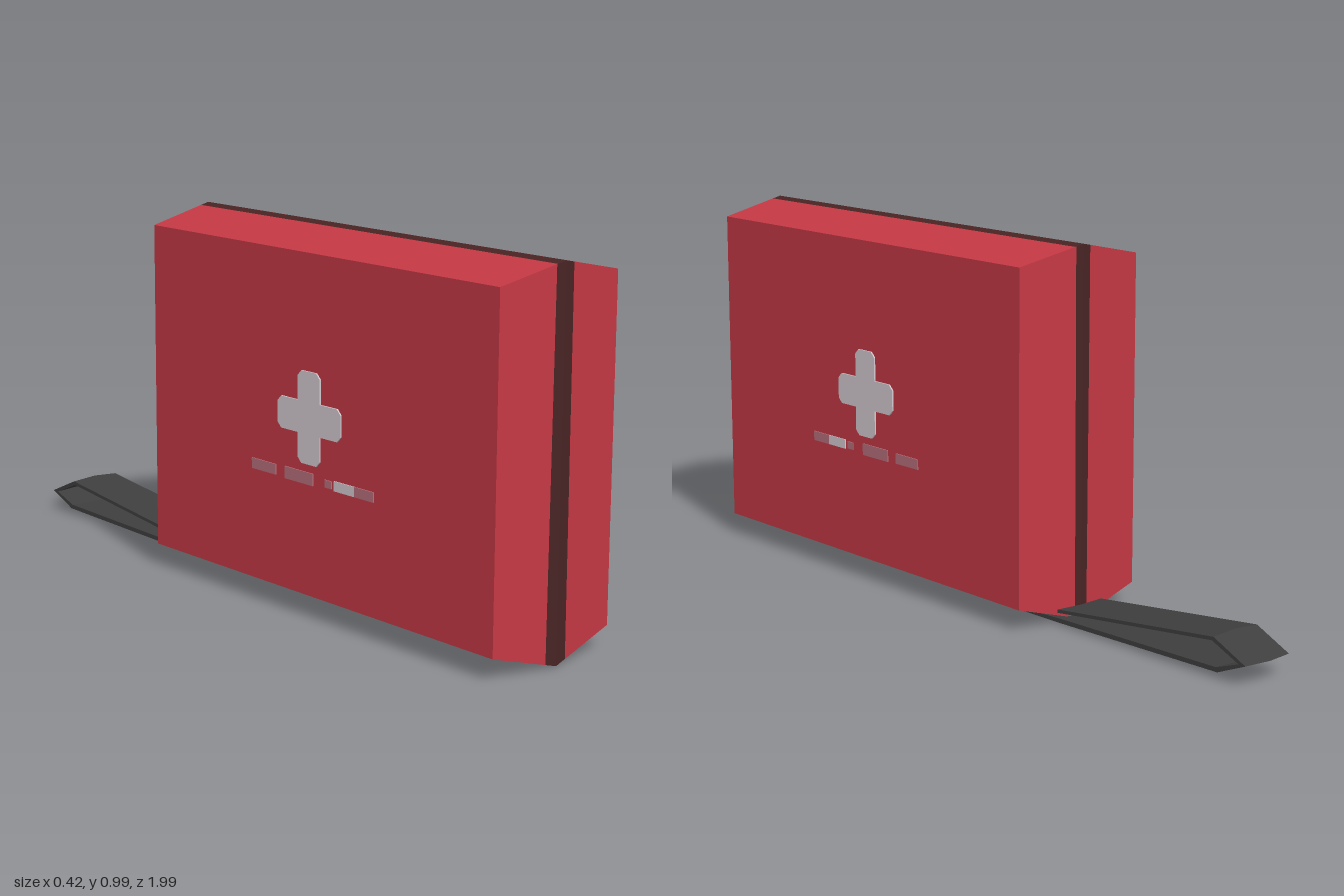
import * as THREE from 'three';

const red = new THREE.MeshStandardMaterial({ color: 0xc43844 });
red.name = 'red fabric';
const brown = new THREE.MeshStandardMaterial({ color: 0x482424 });
brown.name = 'dark zip';
const white = new THREE.MeshStandardMaterial({ color: 0xd4cad1 });
white.name = 'off white print';
const pink = new THREE.MeshStandardMaterial({ color: 0xb8707c });
pink.name = 'faded print';
const black = new THREE.MeshStandardMaterial({ color: 0x3e3e3e });
black.name = 'dark webbing';

const HALF = 0.2;

function mesh(name, geometry, material) {
  const m = new THREE.Mesh(geometry, material);
  m.name = name;
  return m;
}

// Corner of the bag's outline at a given x; it bulges towards the middle ridge
function corner(x, top, front) {
  const t = Math.abs(x) / HALF;
  const y = top > 0 ? 0.99 - 0.043 * t : 0.004 + 0.057 * t;
  return new THREE.Vector3(x, y, front * (0.662 - 0.018 * t));
}

// Flat quads facing away from the middle of the bag
function quadGeometry(quads) {
  const out = [];
  const middle = new THREE.Vector3(0, 0.5, 0);
  for (const [a, b, c, d] of quads) {
    const n = b.clone().sub(a).cross(c.clone().sub(a));
    const outward = a.clone().add(c).multiplyScalar(0.5).sub(middle);
    const order = n.dot(outward) > 0 ? [a, b, c, a, c, d] : [a, c, b, a, d, c];
    for (const p of order) out.push(p.x, p.y, p.z);
  }
  const g = new THREE.BufferGeometry();
  g.setAttribute('position', new THREE.Float32BufferAttribute(out, 3));
  g.computeVertexNormals();
  return g;
}

function addBag(group) {
  const redQuads = [];
  const zipQuads = [];
  // Each rim panel: its two end corners [top, front] and the zip half width at each
  const panels = [
    [[1, 1], [-1, 1], 0.029, 0.034],
    [[1, -1], [1, 1], 0.027, 0.027],
    [[1, -1], [-1, -1], 0.024, 0.02],
    [[-1, -1], [-1, 1], 0, 0],
  ];
  for (const [e0, e1, w0, w1] of panels) {
    for (const s of [-1, 1]) {
      const strip = (list, xa0, xb0, xa1, xb1) => list.push([
        corner(s * xa0, ...e0), corner(s * xb0, ...e0), corner(s * xb1, ...e1), corner(s * xa1, ...e1),
      ]);
      strip(redQuads, w0, HALF, w1, HALF);
      if (w0 > 0) strip(zipQuads, 0, w0, 0, w1);
    }
  }
  // Flat left and right faces
  for (const s of [-1, 1]) {
    const x = s * HALF;
    redQuads.push([corner(x, 1, 1), corner(x, -1, 1), corner(x, -1, -1), corner(x, 1, -1)]);
  }
  group.add(mesh('bagBody', quadGeometry(redQuads), red));
  group.add(mesh('zipBand', quadGeometry(zipQuads), brown));
}

// Plus sign with clipped arm ends
function crossGeometry() {
  const a = 0.042, r = 0.12, k = 0.014;
  const shape = new THREE.Shape();
  const arm = [[a, a], [r - k, a], [r, a - k], [r, k - a], [r - k, -a]];
  const points = [];
  for (let i = 0; i < 4; i++) {
    const angle = -i * Math.PI / 2;
    for (const [x, y] of arm) points.push(new THREE.Vector2(x, y).rotateAround(new THREE.Vector2(), angle));
  }
  shape.setFromPoints(points);
  return new THREE.ExtrudeGeometry(shape, { depth: 0.004, bevelEnabled: false });
}

function addPrint(group, side) {
  const cross = mesh('cross', crossGeometry(), white);
  cross.rotation.y = side * Math.PI / 2;
  cross.position.set(side * HALF, 0.527, -0.01);
  group.add(cross);
  // Row of dashes below the cross: front z, back z, height, material
  const dashes = [
    [0.23, 0.16, 0.026, pink], [0.16, 0.085, 0.026, white], [0.075, 0.05, 0.02, pink],
    [0.005, -0.105, 0.032, pink], [-0.14, -0.235, 0.028, pink],
  ];
  for (const [z0, z1, h, material] of dashes) {
    const dash = mesh('printDash', new THREE.BoxGeometry(0.004, h, z0 - z1), material);
    dash.position.set(side * (HALF + 0.001), 0.37, (z0 + z1) / 2);
    group.add(dash);
  }
}

// Loop of webbing that runs out from under the back of the bag
function strapGeometry() {
  const outer = [[0.525, 0.006], [0.67, 0.007], [1.23, 0.018], [1.322, 0.056], [1.215, 0.104], [0.66, 0.042], [0.56, 0.03]];
  const inner = [[0.56, 0.023], [0.66, 0.033], [1.21, 0.094], [1.3, 0.056], [1.225, 0.03], [0.67, 0.019], [0.525, 0.013]];
  const shape = new THREE.Shape([...outer, ...inner].map(([x, y]) => new THREE.Vector2(x, y)));
  const width = 0.152;
  const g = new THREE.ExtrudeGeometry(shape, { depth: width, steps: 2, bevelEnabled: false });
  g.translate(0, 0, -width / 2);
  g.rotateY(Math.PI / 2);
  // Bow the middle of the webbing outwards
  const p = g.attributes.position;
  for (let i = 0; i < p.count; i++) {
    if (Math.abs(p.getX(i)) > 0.01) continue;
    p.setY(i, 0.05 + (p.getY(i) - 0.05) * 1.1);
    if (p.getZ(i) < -1.28) p.setZ(i, p.getZ(i) - 0.01);
  }
  g.computeVertexNormals();
  return g;
}

export function createModel() {
  const model = new THREE.Group();
  model.name = 'firstAidBag';
  // Everything sits slightly turned about the middle of the bag
  const bag = new THREE.Group();
  bag.name = 'bag';
  bag.position.set(-0.002, 0, 0.335);
  bag.rotation.y = -0.0136;
  addBag(bag);
  for (const side of [-1, 1]) {
    const print = new THREE.Group();
    print.name = side > 0 ? 'leftPrint' : 'rightPrint';
    addPrint(print, side);
    bag.add(print);
  }
  bag.add(mesh('strap', strapGeometry(), black));
  model.add(bag);
  return model;
}
